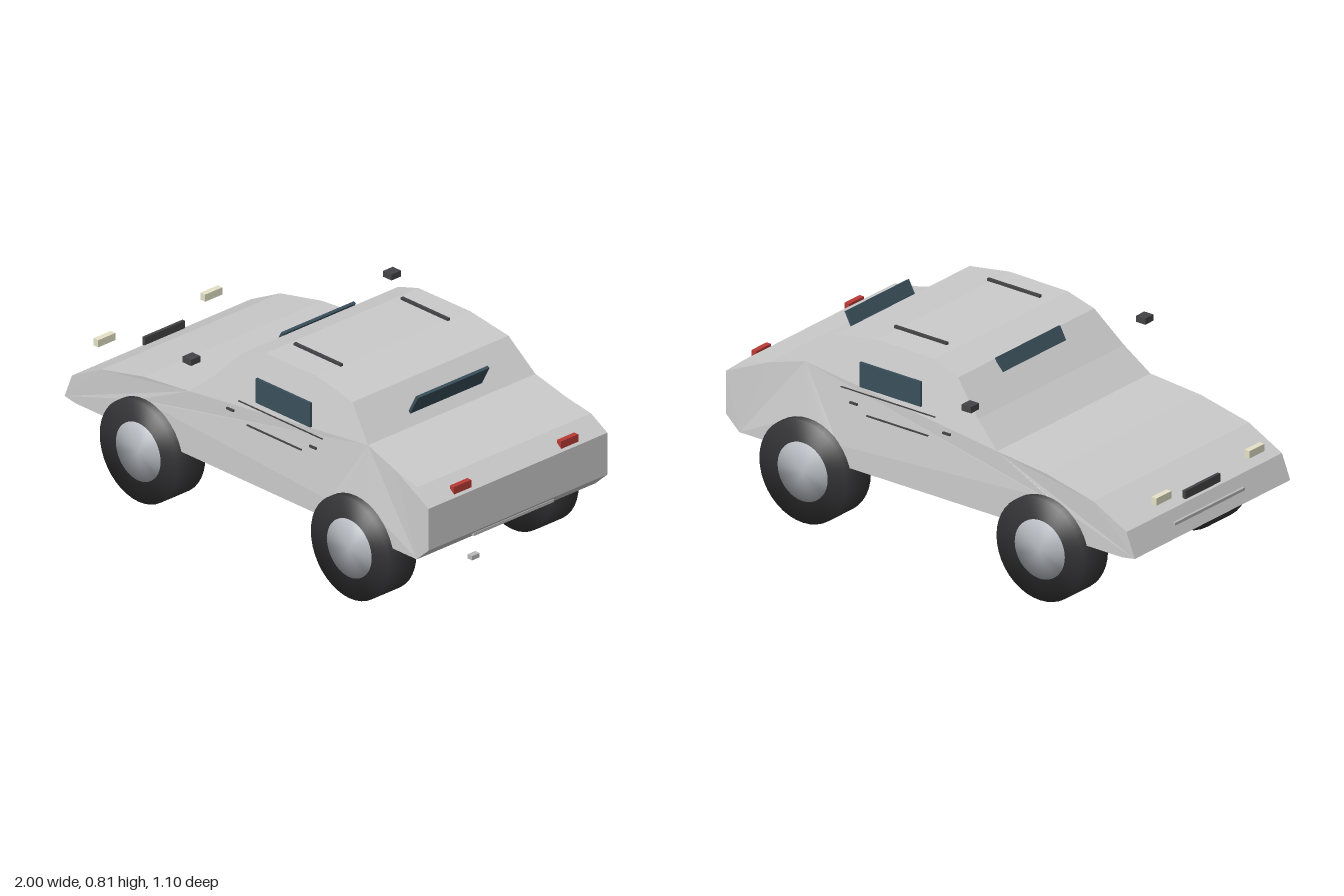
import * as THREE from 'three';
import { mergeVertices } from 'three/addons/utils/BufferGeometryUtils.js';

const mat = (color, flatShading = false) => new THREE.MeshStandardMaterial({ color, flatShading });
const MATS = {
  body: mat(0xcccccc, true), dark: mat(0x444446), tyre: mat(0x333335), hub: mat(0xb8bcc2),
  glass: mat(0x3a505c), lamp: mat(0xe6e2c8), red: mat(0xb83a36), chrome: mat(0xbbbbbb),
};
const HALF_WIDTH = 0.468, WHEEL_X = [-0.567, 0.578], WHEEL_R = 0.21;

// Side profile extruded across the car, with the cabin leaning inward
function makeBody() {
  const outline = [
    [-0.94, 0.27], [-1, 0.28], [-0.96, 0.38], [-0.8, 0.462], [-0.57, 0.512], [-0.33, 0.535],
    [-0.22, 0.63], [-0.1, 0.757], [0.02, 0.797], [0.3, 0.8], [0.5, 0.765], [0.615, 0.635],
    [0.78, 0.588], [0.9, 0.565], [0.975, 0.505], [0.975, 0.33], [0.91, 0.27],
  ];
  const shape = new THREE.Shape(outline.map(([x, y]) => new THREE.Vector2(x, y)));
  // Wheel arches along the floor, back to front
  const r = 0.2, a = Math.asin((0.27 - WHEEL_R) / r);
  for (const x of [...WHEEL_X].reverse()) {
    shape.lineTo(x + r * Math.cos(a), 0.27);
    shape.absarc(x, WHEEL_R, r, a, Math.PI - a, false);
  }
  const geo = new THREE.ExtrudeGeometry(shape, {
    depth: 2 * HALF_WIDTH, bevelEnabled: false, curveSegments: 8,
  });
  geo.translate(0, 0, -HALF_WIDTH);
  const p = geo.attributes.position;
  for (let i = 0; i < p.count; i++) {
    const lean = Math.max(0, p.getY(i) - 0.505) * 0.23;
    p.setZ(i, p.getZ(i) - Math.sign(p.getZ(i)) * lean);
  }
  geo.computeVertexNormals();
  return geo;
}

// Cylinder along z whose normals blend over the rims
function softDrum(radius, width) {
  const geo = new THREE.CylinderGeometry(radius, radius, width, 40);
  geo.deleteAttribute('uv');
  geo.deleteAttribute('normal');
  const soft = mergeVertices(geo);
  soft.computeVertexNormals();
  return soft.rotateX(Math.PI / 2);
}

export function createModel() {
  const car = new THREE.Group();
  car.name = 'car';
  const add = (name, geo, material, pos = [0, 0, 0], parent = car) => {
    const mesh = new THREE.Mesh(geo, material);
    mesh.name = name;
    mesh.position.set(...pos);
    parent.add(mesh);
    return mesh;
  };
  const box = (name, size, pos, material) => add(name, new THREE.BoxGeometry(...size), material, pos);

  add('body', makeBody(), MATS.body);

  // Wheels
  const tyre = softDrum(WHEEL_R, 0.148), hub = softDrum(0.12, 0.153);
  WHEEL_X.forEach((x, i) => {
    for (const side of [1, -1]) {
      const wheel = new THREE.Group();
      wheel.name = (i ? 'rear' : 'front') + 'Wheel';
      wheel.position.set(x, WHEEL_R, side * 0.425);
      add('tyre', tyre, MATS.tyre, [0, 0, 0], wheel);
      add('hub', hub, MATS.hub, [0, 0, 0], wheel);
      car.add(wheel);
    }
  });

  // Parts mirrored on both sides
  for (const s of [1, -1]) {
    box('headlight', [0.025, 0.03, 0.09], [-0.978, 0.462, s * 0.28], MATS.lamp);
    box('tailLight', [0.022, 0.034, 0.09], [0.954, 0.527, s * 0.28], MATS.red);
    box('mirror', [0.045, 0.025, 0.05], [-0.252, 0.719, s * 0.525], MATS.dark);
    box('roofRail', [0.255, 0.01, 0.012], [0.182, 0.809, s * 0.28], MATS.dark);
    box('sideWindow', [0.295, 0.102, 0.01], [0.183, 0.669, s * 0.462], MATS.glass);
    box('windowTrim', [0.455, 0.004, 0.004], [0.183, 0.602, s * 0.479], MATS.dark);
    box('doorTrim', [0.295, 0.005, 0.006], [0.143, 0.512, s * 0.473], MATS.dark);
    for (const x of [-0.095, 0.353])
      box('doorHandle', [0.036, 0.008, 0.008], [x, 0.546, s * 0.474], MATS.dark);
  }

  // Windscreens
  box('windscreen', [0.012, 0.09, 0.38], [-0.128, 0.725, 0], MATS.glass).rotation.z = -0.49;
  box('rearWindow', [0.012, 0.09, 0.375], [0.6, 0.713, 0], MATS.glass).rotation.z = -0.49;

  // Nose and tail details
  box('grille', [0.014, 0.034, 0.21], [-0.947, 0.404, 0], MATS.dark);
  box('frontBumper', [0.012, 0.012, 0.42], [-0.982, 0.33, 0], MATS.chrome);
  box('rearBumper', [0.012, 0.012, 0.42], [0.947, 0.301, 0], MATS.chrome);
  box('exhaust', [0.024, 0.018, 0.04], [0.988, 0.237, 0.245], MATS.chrome);
  return car;
}
